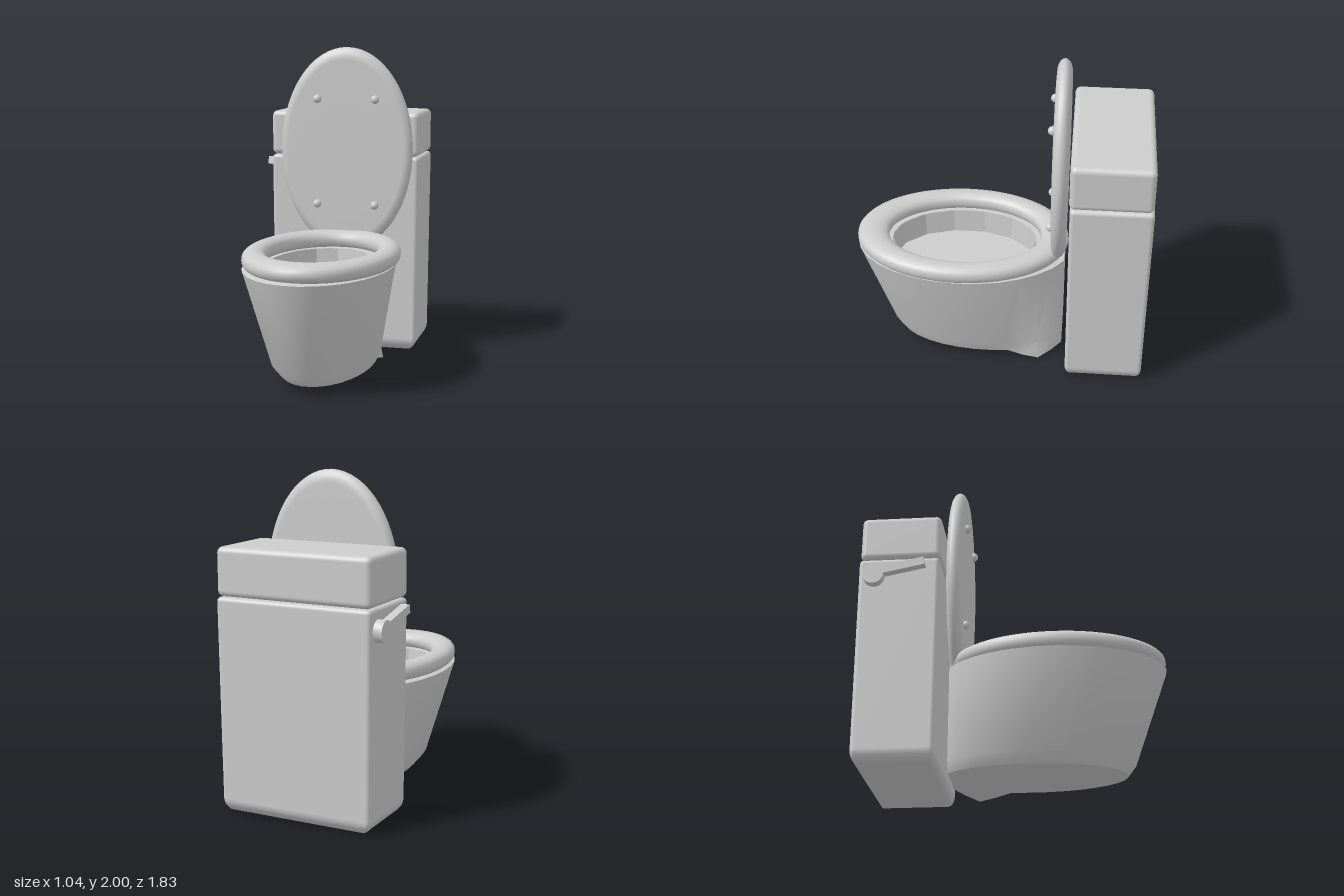
import * as THREE from 'three';
import { toCreasedNormals } from 'three/addons/utils/BufferGeometryUtils.js';
import { RoundedBoxGeometry } from 'three/addons/geometries/RoundedBoxGeometry.js';

const ceramic = new THREE.MeshStandardMaterial({ color: 0xcccccc, side: THREE.DoubleSide });
ceramic.name = 'ceramicGrey';

function part(name, geometry, x = 0, y = 0, z = 0) {
  const mesh = new THREE.Mesh(geometry, ceramic);
  mesh.name = name;
  mesh.position.set(x, y, z);
  return mesh;
}

// Surface over a grid of points: u runs around, v runs along the section
function gridSurface(cols, rows, point, crease) {
  const pos = [], index = [];
  for (let j = 0; j <= rows; j++)
    for (let i = 0; i <= cols; i++) pos.push(...point(i / cols, j));
  for (let j = 0; j < rows; j++)
    for (let i = 0; i < cols; i++) {
      const a = j * (cols + 1) + i, b = a + 1, d = a + cols + 1, c = d + 1;
      index.push(a, b, c, a, c, d);
    }
  const g = new THREE.BufferGeometry();
  g.setAttribute('position', new THREE.Float32BufferAttribute(pos, 3));
  g.setIndex(index);
  return toCreasedNormals(g, crease);
}

// Tapering pedestal: ellipses cut flat at the back
function bowlGeometry() {
  const BACK = -0.4, N = 28;
  // y, centre x, half width, centre z, half depth
  const rows = [
    [0.055, 0.06, 0.001, 0.1, 0.001],
    [0.055, 0.06, 0.28, 0.09, 0.57],
    [0.12, 0.047, 0.32, 0.11, 0.6],
    [0.705, 0.035, 0.453, 0.235, 0.683],
    [0.715, 0.035, 0.42, 0.235, 0.64],
    [0.715, 0.033, 0.31, 0.24, 0.46],
  ];
  return gridSurface(N, rows.length - 1, (u, j) => {
    const [y, cx, hx, cz, hz] = rows[j];
    const limit = Math.acos(Math.max(-1, (BACK - cz) / hz));
    // the last step closes the flat back
    const t = u > 0.999 ? -limit : limit * (2 * u * N / (N - 1) - 1);
    const x = cx + hx * Math.sin(t), z = cz + hz * Math.cos(t);
    // the underside dips and flares at one rear corner
    const dip = y < 0.1 ? Math.max(0, 1 - Math.hypot(x - 0.28, z + 0.25) / 0.2) : 0;
    return [x + 0.045 * dip, y - 0.055 * dip, z];
  }, 0.6);
}

// Oval seat ring with a flattened round section
function seatGeometry() {
  const M = 20;
  return gridSurface(64, M, (u, j) => {
    const t = u * Math.PI * 2, v = (j / M) * Math.PI * 2;
    const k = (1 + Math.cos(v)) / 2, s = Math.sin(v);
    return [
      0.05 + (0.33 + 0.137 * k) * Math.sin(t),
      0.762 + 0.058 * Math.sign(s) * Math.abs(s) ** 0.8,
      0.235 + 0.012 * k + (0.48 + 0.188 * k) * Math.cos(t),
    ];
  }, 0.9);
}

// Flat oval lid with a softly rounded edge, standing upright
function lidGeometry() {
  const T = 0.045;
  const profile = [new THREE.Vector2(0, -T), new THREE.Vector2(0.5, -T)];
  for (let i = 0; i <= 10; i++) {
    const a = -Math.PI / 2 + (i / 10) * Math.PI;
    profile.push(new THREE.Vector2(0.88 + 0.12 * Math.cos(a), T * Math.sin(a)));
  }
  profile.push(new THREE.Vector2(0.5, T), new THREE.Vector2(0, T));
  const g = new THREE.LatheGeometry(profile, 64);
  g.scale(0.435, 1, 0.655);
  g.rotateX(Math.PI / 2);
  return g;
}

// Tank body: rounder at the bottom than at the top
function tankGeometry() {
  const h = 1.28, r = 0.025;
  const g = new RoundedBoxGeometry(0.985, h, 0.49, 4, r);
  const p = g.attributes.position;
  for (let i = 0; i < p.count; i++) {
    const up = p.getY(i) + h / 2;
    if (up > r + 0.001) continue;
    const inset = 0.98 - 0.05 * (1 - up / r) ** 2;
    p.setXYZ(i, p.getX(i) * inset, up * 3 - h / 2, p.getZ(i) * inset);
  }
  return g;
}

export function createModel() {
  const model = new THREE.Group();
  model.name = 'toilet';

  model.add(part('bowl', bowlGeometry()));

  // Shallow faceted basin inside the bowl
  const wall = [[1, 0.715], [0.97, 0.56], [0, 0.56]].map(([x, y]) => new THREE.Vector2(x, y));
  const basin = new THREE.LatheGeometry(wall, 14);
  basin.scale(0.31, 1, 0.46);
  model.add(part('basin', toCreasedNormals(basin, 0.2), 0.033, 0, 0.24));

  model.add(part('seat', seatGeometry()));
  model.add(part('lid', lidGeometry(), 0.053, 1.345, -0.361));

  // Bumpers on the lid
  for (const x of [-0.13, 0.25])
    for (const y of [0.99, 1.67])
      model.add(part('lidBumper', new THREE.SphereGeometry(0.027, 16, 12), x, y, -0.307));

  model.add(part('tank', tankGeometry(), 0.02, 0.652, -0.672));
  model.add(part('tankLid', new RoundedBoxGeometry(0.985, 0.287, 0.49, 5, 0.035), 0.02, 1.438, -0.667));

  // Flush handle: round hub with a lever pointing forward
  const hub = new THREE.CylinderGeometry(0.064, 0.064, 0.06, 24);
  hub.rotateZ(Math.PI / 2);
  model.add(part('flushHub', toCreasedNormals(hub, 0.6), -0.496, 1.168, -0.82));
  const lever = part('flushLever', new THREE.BoxGeometry(0.055, 0.05, 0.32), -0.497, 1.212, -0.67);
  lever.rotation.x = -0.2;
  model.add(lever);

  return model;
}
